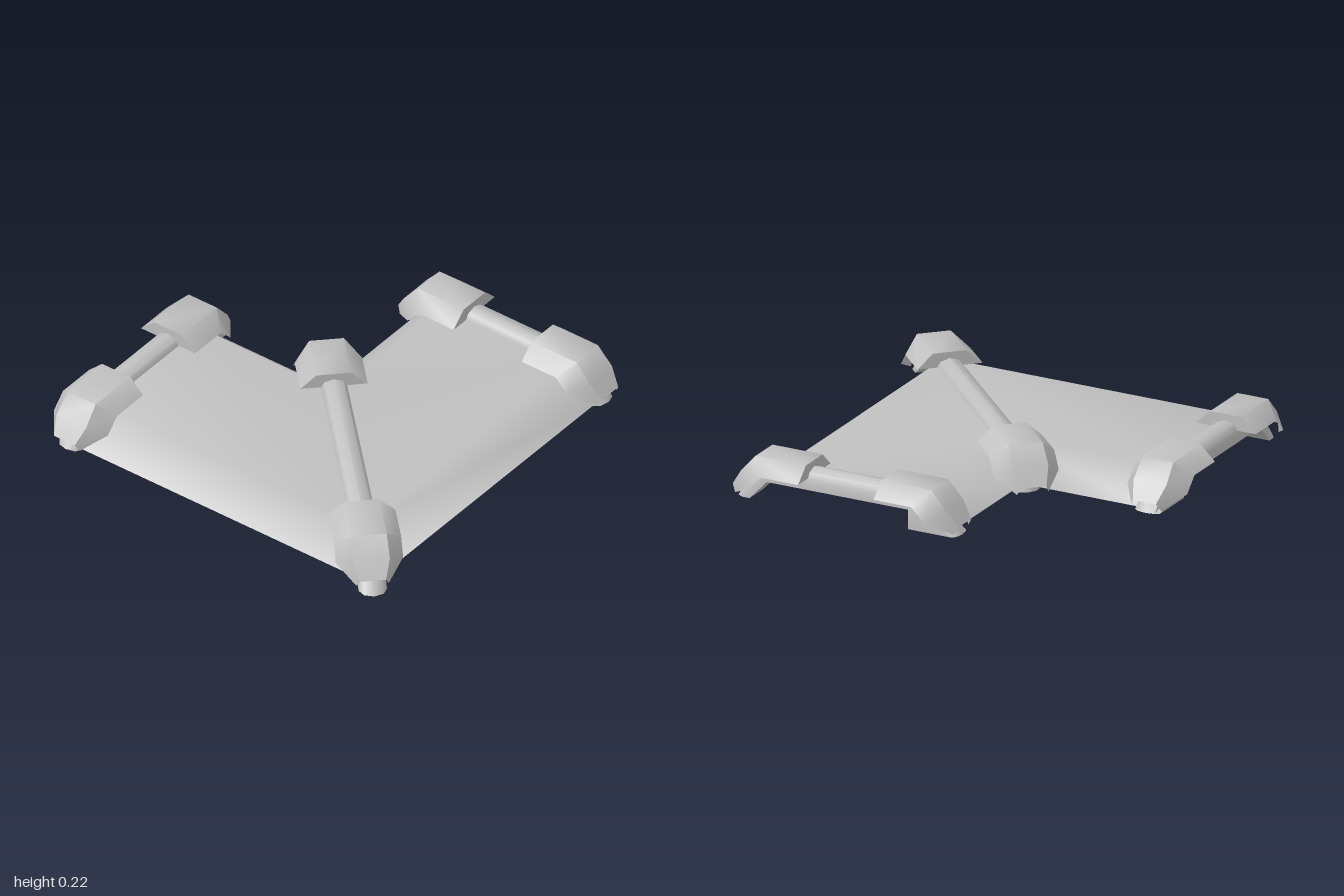
import * as THREE from 'three';
import { toCreasedNormals } from 'three/addons/utils/BufferGeometryUtils.js';

const grey = new THREE.MeshStandardMaterial({ color: 0xc0c0c0, side: THREE.DoubleSide });
grey.name = 'grey metal';

// Skin over rows of [x, y, z] points; each row has the same length
function loft(rows) {
  const n = rows[0].length, index = [];
  for (let i = 0; i < rows.length - 1; i++) {
    for (let j = 0; j < n - 1; j++) {
      const a = i * n + j, b = a + n;
      index.push(a, b, a + 1, b, b + 1, a + 1);
    }
  }
  const g = new THREE.BufferGeometry();
  g.setAttribute('position', new THREE.Float32BufferAttribute(rows.flat(2), 3));
  g.setIndex(index);
  g.computeVertexNormals();
  return g;
}

function mesh(name, geometry) {
  const m = new THREE.Mesh(geometry, grey);
  m.name = name;
  return m;
}

// Rounded pipe following an arch; stations are [topZ, topY, bottomZ, bottomY]
function pipe(stations) {
  const section = [[-0.065, 0], [-0.065, 0.5], [-0.045, 0.85], [0, 1], [0.045, 0.85], [0.065, 0.5], [0.065, 0], [-0.065, 0]];
  const rows = stations.map(([tz, ty, bz, by]) =>
    section.map(([w, k]) => [w, by + (ty - by) * k, bz + (tz - bz) * k]));
  return mesh('archPipe', toCreasedNormals(loft(rows), 0.9));
}

// Angular shell that wraps the bend of a pipe and narrows at the foot;
// stations are [edgeW, edgeZ, edgeY, crestW, crestZ, crestY]
function bracket() {
  const stations = [
    [0.155, 0.195, 0.15, 0.08, 0.195, 0.22],
    [0.155, 0.39, 0.15, 0.08, 0.455, 0.22],
    [0.155, 0.46, 0.08, 0.085, 0.53, 0.135],
    [0.075, 0.565, 0.02, 0.06, 0.585, 0.055],
  ];
  const rows = stations.map(([ew, ez, ey, cw, cz, cy]) =>
    [[-ew, ey, ez], [-cw, cy, cz], [cw, cy, cz], [ew, ey, ez]]);
  const g = new THREE.Group();
  g.name = 'bracket';
  g.add(mesh('bracketShell', toCreasedNormals(loft(rows), 0.9)));
  // Flat wall closing the shell's inner end around the pipe
  const [ew, ez, ey, cw, , cy] = stations[0];
  const end = loft([[[-cw, cy, ez], [cw, cy, ez]], [[-ew, ey, ez], [ew, ey, ez]]]);
  end.index.array.reverse();
  end.computeVertexNormals();
  g.add(mesh('bracketEnd', end));
  return g;
}

// Arch with a pipe and two brackets; local +z points to the outer side
function arch(name, x, z, turn, stations, shift) {
  const g = new THREE.Group();
  g.name = name;
  g.add(pipe(stations));
  for (const side of [0, 1]) {
    const b = bracket();
    b.position.z = side ? -shift : shift;
    b.rotation.y = side * Math.PI;
    g.add(b);
  }
  g.position.set(x, 0, z);
  g.rotation.y = turn;
  return g;
}

export function createModel() {
  const model = new THREE.Group();
  model.name = 'cornerCover';

  // Hollow cover with sloped sides, mitred round the corner
  const profile = [[0.525, 0], [0.36, 0.15], [-0.36, 0.15], [-0.525, 0]];
  model.add(mesh('cover', loft([
    profile.map(([v, y]) => [-0.365 - v, y, -0.85]),
    profile.map(([v, y]) => [-0.365 - v, y, 0.345 + v]),
    profile.map(([v, y]) => [0.85, y, 0.345 + v]),
  ])));

  // End arches, with a deeper foot on the inner side
  const endPath = [
    [-0.575, 0, -0.53, 0],
    [-0.435, 0.19, -0.325, 0],
    [-0.33, 0.19, -0.325, 0.095],
    [0.435, 0.19, 0.405, 0.095],
    [0.575, 0, 0.495, 0],
  ];
  model.add(arch('sideArch', 0.845, 0.335, 0, endPath, 0));
  model.add(arch('backArch', -0.36, -0.845, -Math.PI / 2, endPath, 0));

  // Longer arch over the mitre
  const diagonalPath = [
    [-0.78, 0, -0.7, 0],
    [-0.7, 0.19, -0.64, 0.095],
    [0.71, 0.19, 0.66, 0.095],
    [0.91, 0, 0.81, 0],
  ];
  model.add(arch('diagonalArch', -0.31, 0.297, -Math.PI / 4, diagonalPath, 0.28));
  return model;
}
